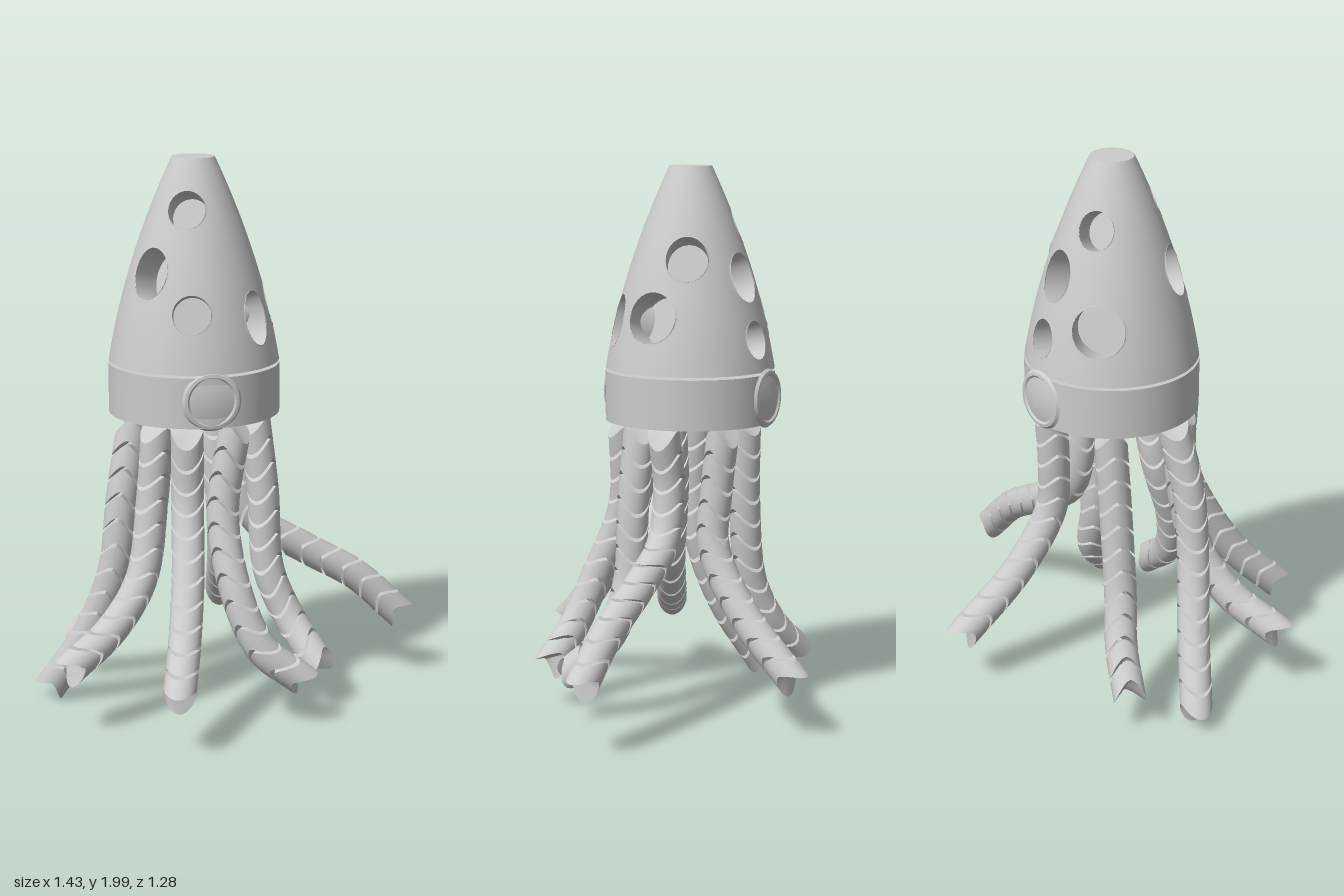
import * as THREE from 'three';
import { toCreasedNormals } from 'three/addons/utils/BufferGeometryUtils.js';

const V = (x, y, z) => new THREE.Vector3(x, y, z);
const CX = -0.12, CZ = -0.06;          // axis of the body
const Y0 = 1.275, Y1 = 2;              // mantle bottom and top
const grey = new THREE.MeshStandardMaterial({ color: 0xcccccc, side: THREE.DoubleSide });

function add(parent, name, geometry) {
  const mesh = new THREE.Mesh(geometry, grey);
  mesh.name = name;
  parent.add(mesh);
  return mesh;
}

function indexed(positions, index) {
  const g = new THREE.BufferGeometry();
  g.setAttribute('position', new THREE.Float32BufferAttribute(positions, 3));
  g.setIndex(index);
  g.computeVertexNormals();
  return g;
}

// Mantle outline
const mantleRadius = (y) => {
  const s = (y - Y0) / (Y1 - Y0);
  return 0.306 - 0.12 * s - 0.11 * s * s;
};
const mantleSlope = (y) => -(0.12 + 0.22 * (y - Y0) / (Y1 - Y0)) / (Y1 - Y0);

// Oval pockets in the mantle: x and z relative to the axis, height, half width, half height
const pockets = [
  [-0.05, 0.13, 1.83, 0.066, 0.068], [-0.18, 0.13, 1.61, 0.073, 0.092], [-0.06, 0.25, 1.48, 0.068, 0.068],
  [0.185, 0.2, 1.45, 0.06, 0.098], [0.27, 0.02, 1.475, 0.094, 0.092], [0.18, -0.08, 1.68, 0.075, 0.082],
  [0.03, -0.285, 1.39, 0.06, 0.07], [0.02, -0.225, 1.61, 0.07, 0.092], [-0.175, -0.195, 1.46, 0.092, 0.09],
  [-0.09, -0.14, 1.785, 0.062, 0.068],
].map(([x, z, y, w, t]) => {
  const a = Math.atan2(x, z), R = mantleRadius(y);
  const centre = V(R * Math.sin(a), y, R * Math.cos(a));
  const normal = V(Math.sin(a), -mantleSlope(y), Math.cos(a)).normalize();
  const side = V(Math.cos(a), 0, -Math.sin(a));
  return { centre, normal, side, up: normal.clone().cross(side), w, t, R };
});

// Surface of revolution with the pocket openings left out; rims snap to ovals
function mantleShell() {
  const cols = 180, rows = 72, positions = [], inside = [], index = [];
  for (let j = 0; j <= rows; j++) for (let i = 0; i < cols; i++) {
    const y = Y0 + (Y1 - Y0) * j / rows, a = 2 * Math.PI * i / cols, R = mantleRadius(y);
    const p = V(R * Math.sin(a), y, R * Math.cos(a));
    let cut = false;
    for (const h of pockets) {
      const d = p.clone().sub(h.centre);
      if (d.dot(h.normal) < -0.1) continue;
      const u = d.dot(h.side), v = d.dot(h.up), k = Math.hypot(u / h.w, v / h.t);
      if (k < 1 - 0.017 / h.w) cut = true;
      else if (k < 1) p.addScaledVector(h.side, u / k - u).addScaledVector(h.up, v / k - v);
    }
    positions.push(p.x, p.y, p.z);
    inside.push(cut);
  }
  const tri = (a, b, c) => { if (!inside[a] && !inside[b] && !inside[c]) index.push(a, b, c); };
  for (let j = 0; j < rows; j++) for (let i = 0; i < cols; i++) {
    const a = j * cols + i, b = j * cols + (i + 1) % cols;
    tri(a, b, b + cols);
    tri(a, b + cols, a + cols);
  }
  return indexed(positions, index);
}

// Pocket wall and floor, the rim following the curve of the mantle
function pocketGeometry(h) {
  const n = 40, depth = 0.12, positions = [], index = [];
  for (let i = 0; i < n; i++) {
    const a = 2 * Math.PI * i / n, u = h.w * Math.cos(a), v = h.t * Math.sin(a);
    for (const sink of [u * u / (2 * h.R), depth]) {
      const p = h.centre.clone().addScaledVector(h.side, u)
        .addScaledVector(h.up, v).addScaledVector(h.normal, -sink);
      positions.push(p.x, p.y, p.z);
    }
    const b = 2 * i, c = 2 * ((i + 1) % n);
    index.push(b, b + 1, c, c, b + 1, c + 1, b + 1, 2 * n, c + 1);
  }
  const floor = h.centre.clone().addScaledVector(h.normal, -depth);
  positions.push(floor.x, floor.y, floor.z);
  return toCreasedNormals(indexed(positions, index), 0.8);
}

// One tentacle: solid pieces with saddle-shaped ends, strung along a curve
function tentacle(points, roll) {
  const group = new THREE.Group();
  const curve = new THREE.CatmullRomCurve3(points.map((p) => V(...p)));
  const length = curve.getLength(), count = Math.round(length / 0.088);
  const first = curve.getPoint(0), last = curve.getPoint(1);
  const across = V(last.z - first.z, 0, first.x - last.x).normalize();
  const pitch = length / count, sides = 28, steps = 3;

  const place = (s, a, r) => {
    const u = THREE.MathUtils.clamp(s / length, 0, 1);
    const t = curve.getTangentAt(u);
    const p = curve.getPointAt(u).addScaledVector(t, s - u * length);
    const b = across.clone().addScaledVector(t, -across.dot(t)).normalize();
    const n = b.clone().cross(t);
    return p.addScaledVector(n, r * Math.cos(a)).addScaledVector(b, r * Math.sin(a));
  };

  for (let k = 0; k < count; k++) {
    const positions = [], index = [], start = k * pitch, size = pitch - 0.014;
    for (let j = 0; j <= steps; j++) for (let i = 0; i < sides; i++) {
      const a = 2 * Math.PI * i / sides;
      const reach = 0.06 * Math.abs(Math.cos(a + roll)) ** 1.6 - 0.015;
      positions.push(...place(start + size * j / steps + reach, a, 0.058).toArray());
    }
    const ring = steps * sides, top = ring + sides, bottom = top + 1;
    positions.push(...place(start - 0.015, 0, 0).toArray(), ...place(start + size - 0.015, 0, 0).toArray());
    for (let i = 0; i < sides; i++) {
      const m = (i + 1) % sides;
      for (let j = 0; j < steps; j++) {
        const a = j * sides + i, b = j * sides + m;
        index.push(a, b, b + sides, a, b + sides, a + sides);
      }
      index.push(top, m, i, bottom, ring + i, ring + m);
    }
    add(group, 'tentacleSegment', toCreasedNormals(indexed(positions, index), 0.7));
  }
  return group;
}

// Tentacle paths, each with the roll of its saddle cuts
const tentacles = [
  [0, [[-0.01, 1.06, -0.25], [0.0, 0.85, -0.23], [0.02, 0.65, -0.23], [0.05, 0.43, -0.36], [0.09, 0.22, -0.58]]],
  [0, [[0.1, 1.06, -0.07], [0.06, 0.85, -0.07], [0.11, 0.66, -0.07], [0.3, 0.53, -0.07], [0.5, 0.41, -0.06], [0.655, 0.265, -0.05]]],
  [Math.PI / 2, [[0.08, 1.06, 0.04], [0.11, 0.8, 0.05], [0.13, 0.5, 0.06], [0.2, 0.32, 0.1], [0.28, 0.18, 0.225]]],
  [0, [[-0.02, 1.06, 0.16], [-0.07, 0.75, 0.19], [-0.04, 0.48, 0.29], [0.04, 0.29, 0.345], [0.175, 0.18, 0.365]]],
  [0, [[-0.2, 1.06, 0.2], [-0.2, 0.8, 0.2], [-0.22, 0.57, 0.3], [-0.26, 0.37, 0.43], [-0.31, 0.22, 0.575]]],
  [0, [[-0.29, 1.06, 0.11], [-0.31, 0.8, 0.11], [-0.36, 0.52, 0.15], [-0.48, 0.36, 0.21], [-0.645, 0.255, 0.295]]],
  [0, [[-0.36, 1.06, 0.02], [-0.41, 0.8, 0.06], [-0.44, 0.55, 0.06], [-0.52, 0.3, 0.0], [-0.65, 0.065, -0.09]]],
  [Math.PI / 2, [[-0.29, 1.06, -0.2], [-0.31, 0.75, -0.19], [-0.35, 0.45, -0.2], [-0.42, 0.28, -0.25], [-0.525, 0.165, -0.3]]],
];

export function createModel() {
  const model = new THREE.Group();
  model.name = 'squid';

  // Body: pierced mantle, end caps and collar band
  const body = new THREE.Group();
  body.name = 'body';
  body.position.set(CX, 0, CZ);
  model.add(body);
  add(body, 'mantle', mantleShell());
  pockets.forEach((h) => add(body, 'mantlePocket', pocketGeometry(h)));
  for (const [name, y, turn] of [['mantleTip', Y1, -1], ['mantleBase', Y0, 1]]) {
    const cap = add(body, name, new THREE.CircleGeometry(mantleRadius(y), 90));
    cap.rotation.x = turn * Math.PI / 2;
    cap.position.y = y;
  }
  add(body, 'collar', new THREE.CylinderGeometry(0.308, 0.308, 0.18, 90)).position.y = 1.175;

  // Eyes: thin discs with a low cone inside a slight rim, front and back
  const eyeProfile = [[0, 0.02], [0.08, 0.001], [0.087, 0.007], [0.098, 0.005], [0.106, -0.005], [0, -0.005]];
  const eye = toCreasedNormals(new THREE.LatheGeometry(
    eyeProfile.map(([r, y]) => new THREE.Vector2(r, y)), 48), 0.5);
  for (const [side, offset] of [[1, 0.302], [-1, 0.314]]) {
    const disc = add(body, side > 0 ? 'frontEye' : 'backEye', eye);
    disc.rotation.x = side * Math.PI / 2;
    disc.position.set(0, 1.18, side * offset);
  }

  // Tentacles
  for (const [roll, points] of tentacles) {
    const arm = tentacle(points, roll);
    arm.name = 'tentacle';
    model.add(arm);
  }
  return model;
}
